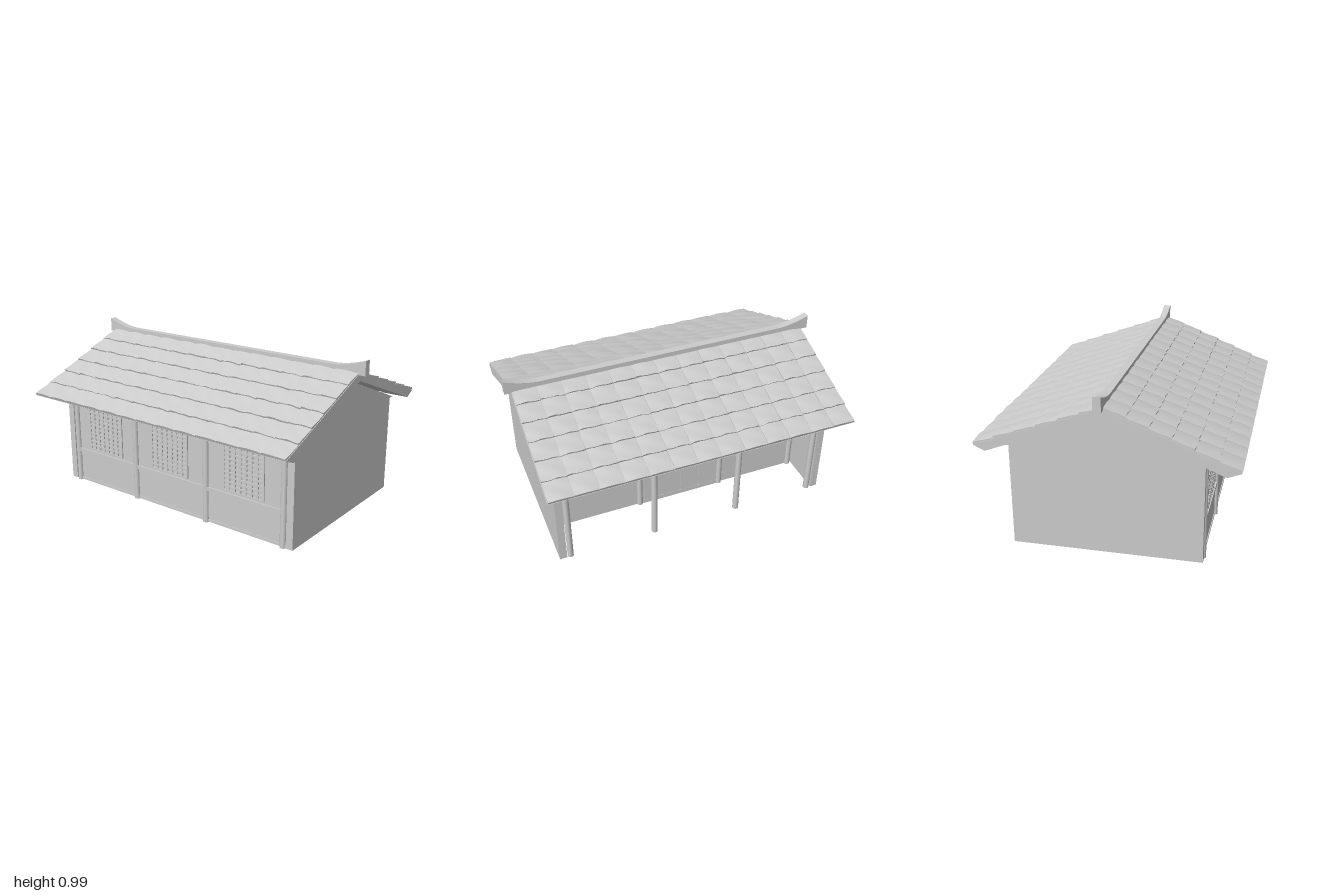
import * as THREE from 'three';
import { mergeGeometries } from 'three/addons/utils/BufferGeometryUtils.js';

const grey = new THREE.MeshStandardMaterial({ color: 0xcccccc, side: THREE.DoubleSide });

export function createModel() {
  const model = new THREE.Group();
  const add = (name, geometry, parent = model) => {
    const mesh = new THREE.Mesh(geometry, grey);
    mesh.name = name;
    parent.add(mesh);
    return mesh;
  };
  // box given by its min and max on each axis
  const box = (x0, x1, y0, y1, z0, z1) =>
    new THREE.BoxGeometry(x1 - x0, y1 - y0, z1 - z0)
      .translate((x0 + x1) / 2, (y0 + y1) / 2, (z0 + z1) / 2);
  // outline in x, y extruded from z0 to z1
  const prism = (points, z0, z1) =>
    new THREE.ExtrudeGeometry(
      new THREE.Shape(points.map(p => new THREE.Vector2(...p))),
      { depth: z1 - z0, bevelEnabled: false }
    ).translate(0, 0, z0);

  let seed = 7;
  const random = () => (seed = (seed * 16807) % 2147483647) / 2147483647;

  // Gable walls with their triangular tops
  for (const [name, z0, z1] of [['frontGable', 0.845, 0.89], ['backGable', -0.88, -0.835]]) {
    add(name + 'Wall', box(-0.55, 0.563, 0.004, 0.62, z0, z1));
    add(name + 'Top', prism([[-0.55, 0.62], [0.6, 0.62], [0.01, 0.856]], z0, z1));
  }

  // Floor, rear wall and recessed porch wall
  add('floor', box(-0.545, 0.28, 0.004, 0.02, -0.84, 0.85));
  add('rearWall', box(-0.54, -0.515, 0.004, 0.635, -0.84, 0.85));
  add('porchWall', box(0.265, 0.29, 0.004, 0.745, -0.84, 0.85));
  add('threshold', box(0.27, 0.295, 0, 0.03, -0.27, 0.25));

  // Columns on the rear wall, the porch wall and along the open porch
  const columnZ = [0.82, 0.272, -0.288, -0.81];
  for (const z of columnZ) {
    for (const [name, x, h] of [['rearColumn', -0.54, 0.635], ['wallColumn', 0.285, 0.75], ['porchColumn', 0.548, 0.65]]) {
      add(name, new THREE.CylinderGeometry(0.019, 0.019, h, 16).translate(x, h / 2, z));
    }
  }

  // Horizontal beams and sills
  add('porchBeam', box(0.533, 0.563, 0.492, 0.53, -0.82, 0.83));
  add('porchWallBeam', box(0.275, 0.3, 0.6, 0.635, -0.82, 0.83));
  add('rearWallBeam', box(-0.552, -0.53, 0.595, 0.625, -0.82, 0.83));
  add('rearSill', box(-0.55, -0.53, 0.205, 0.228, -0.82, 0.83));
  add('porchSill', box(0.28, 0.3, 0.205, 0.228, -0.82, 0.83));

  // Lattice panel of crossed bars standing just proud of a wall face
  const lattice = (name, x, zc, width, y0, y1, cols, rows) => {
    const parts = [];
    const b = 0.005, d = 0.007, z0 = zc - width / 2;
    for (let i = 0; i <= cols; i++) {
      const z = z0 + (width * i) / cols;
      parts.push(box(x - d, x + d, y0, y1, z - b, z + b));
    }
    for (let j = 0; j <= rows; j++) {
      const y = y0 + ((y1 - y0) * j) / rows;
      parts.push(box(x - d, x + d, y - b, y + b, z0, z0 + width));
    }
    add(name, mergeGeometries(parts));
  };
  for (let i = 0; i < 3; i++) {
    const zc = (columnZ[i] + columnZ[i + 1]) / 2;
    lattice('rearWindow', -0.54, zc, 0.28, 0.245, 0.585, 7, 12);
    if (i !== 1) lattice('porchWindow', 0.29, zc, 0.38, 0.245, 0.57, 10, 12);
    else for (let k = -1.5; k <= 1.5; k++) {
      // Four door leaves in the middle bay
      lattice('doorLattice', 0.29, zc + k * 0.128, 0.1, 0.255, 0.57, 4, 12);
      add('doorLeaf', box(0.285, 0.294, 0.03, 0.2, zc + k * 0.128 - 0.06, zc + k * 0.128 + 0.06));
    }
  }

  // Roof slab: two unequal slopes with cut-back eaves
  add('roofSlab', prism([
    [0.005, 0.915], [0.74, 0.642], [0.672, 0.61], [0.01, 0.866], [-0.672, 0.583], [-0.75, 0.614]
  ], -0.96, 0.96));

  // Tiles: bulged, slightly uneven plates overlapping down each slope
  const courses = 6, columns = 13, z0 = -0.957, pitch = 1.914 / columns;
  const tiledSlope = (run, drop) => {
    const length = Math.hypot(run, drop), step = length / courses;
    const tiles = [];
    for (let c = 0; c < courses; c++) {
      for (let k = 0; k < columns; k++) {
        const tile = new THREE.BoxGeometry(1, 1, 1, 5, 1, 6);
        const p = tile.attributes.position;
        const lift = random() * 0.003, skew = (random() - 0.5) * 0.012, phase = random() * 6;
        for (let i = 0; i < p.count; i++) {
          const u = p.getX(i) + 0.5, w = p.getZ(i) + 0.5, top = p.getY(i) > 0;
          const bulge = 0.004 * Math.sin(Math.PI * w) + 0.004 * w;
          const ripple = 0.0012 * Math.sin(phase + 7 * u + 5 * w);
          const wave = u > 0.9 && c < courses - 1 ? skew * (w - 0.5) + 0.003 * Math.sin(phase + 9 * w) : 0;
          p.setXYZ(i,
            (c + u) * step + wave,
            top ? 0.004 + 0.008 * u + bulge + ripple + lift : -0.002,
            z0 + (k + w) * pitch);
        }
        tile.computeVertexNormals();
        tiles.push(tile);
      }
    }
    return mergeGeometries(tiles).rotateZ(-Math.atan2(drop, run)).translate(0, 0.914, 0);
  };
  add('leftRoofTiles', tiledSlope(0.738, 0.27));
  add('rightRoofTiles', tiledSlope(0.748, 0.3)).rotation.y = Math.PI;

  // Ridge beam whose ends sweep upward
  const ridge = new THREE.Shape();
  ridge.moveTo(-1, 0.905);
  ridge.lineTo(-0.96, 0.905);
  ridge.lineTo(-0.9, 0.915);
  ridge.lineTo(0.9, 0.915);
  ridge.lineTo(0.96, 0.905);
  ridge.lineTo(1, 0.905);
  ridge.lineTo(1, 0.993);
  ridge.quadraticCurveTo(0.9, 0.952, 0.8, 0.945);
  ridge.lineTo(-0.8, 0.945);
  ridge.quadraticCurveTo(-0.9, 0.952, -1, 0.993);
  const ridgeGeometry = new THREE.ExtrudeGeometry(ridge, { depth: 0.046, bevelEnabled: false, curveSegments: 8 });
  add('ridgeBeam', ridgeGeometry.rotateY(Math.PI / 2).translate(-0.01, 0, 0));

  return model;
}
